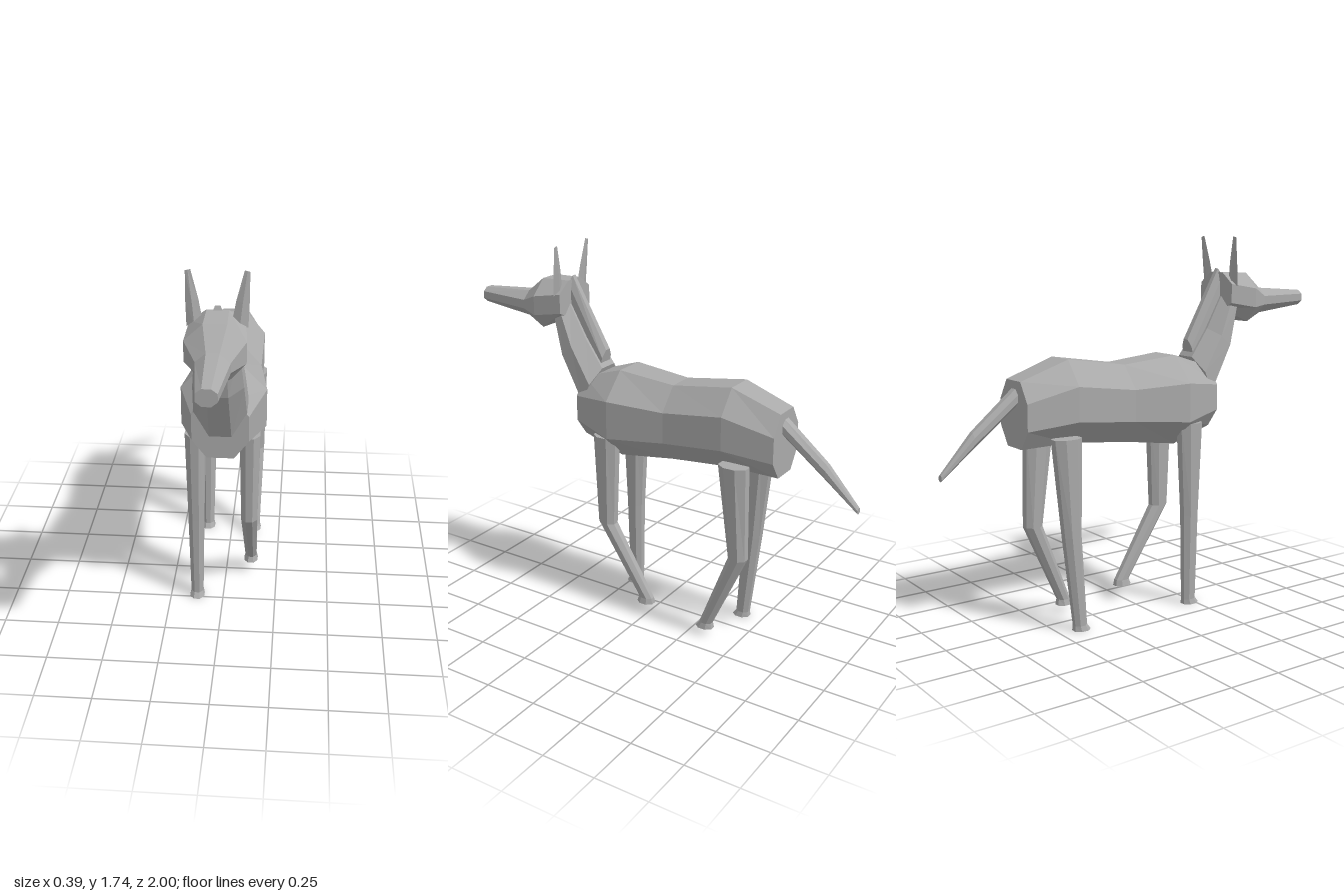
import * as THREE from 'three';

const coat = new THREE.MeshStandardMaterial({ color: 0xaaaaaa, flatShading: true });
coat.name = 'grey coat';

// Skin a row of equal-length cross-sections and cap both ends
function loft(name, rings) {
  const n = rings[0].length, tris = [];
  for (let i = 0; i < rings.length - 1; i++) {
    for (let j = 0; j < n; j++) {
      const k = (j + 1) % n;
      const [a, b, c, d] = [rings[i][j], rings[i][k], rings[i + 1][k], rings[i + 1][j]];
      tris.push([a, b, c], [a, c, d]);
    }
  }
  const first = rings[0], last = rings[rings.length - 1];
  for (let j = 1; j < n - 1; j++) {
    tris.push([first[0], first[j + 1], first[j]], [last[0], last[j], last[j + 1]]);
  }
  // Turn faces outward whichever way the sections run
  let volume = 0;
  const cross = new THREE.Vector3();
  for (const [a, b, c] of tris) volume += a.dot(cross.crossVectors(b, c));
  const points = tris.flatMap(([a, b, c]) => (volume < 0 ? [a, c, b] : [a, b, c]));
  const geometry = new THREE.BufferGeometry().setFromPoints(points);
  geometry.computeVertexNormals();
  const mesh = new THREE.Mesh(geometry, coat);
  mesh.name = name;
  return mesh;
}

// Upright eight-sided section at depth z
function section([z, w, topW, lowW, top, up, low, bottom]) {
  return [[topW, top], [w, up], [w, low], [lowW, bottom],
    [-lowW, bottom], [-w, low], [-w, up], [-topW, top]]
    .map(([x, y]) => new THREE.Vector3(x, y, z));
}

// Tilted octagon between two [z, y] points, with a half width in x
function ring([z1, y1], [z2, y2], w, x0 = 0) {
  return Array.from({ length: 8 }, (_, i) => {
    const a = (i + 0.5) * Math.PI / 4, r = 1 / Math.cos(Math.PI / 8);
    const c = Math.cos(a) * r / 2, s = Math.sin(a) * r;
    return new THREE.Vector3(x0 + s * w,
      (y1 + y2) / 2 + c * (y1 - y2), (z1 + z2) / 2 + c * (z1 - z2));
  });
}

// Leg rows: height, front z, back z, half width
function leg(name, x, rows) {
  return loft(name, rows.map(([y, z1, z2, w]) => ring([z1, y], [z2, y], w, x)));
}

export function createModel() {
  const model = new THREE.Group();
  model.name = 'deer';

  // Torso, chest to rump
  model.add(loft('body', [
    [0.385, 0.125, 0.06, 0.06, 1.13, 1.05, 0.93, 0.845],
    [0.17, 0.193, 0.075, 0.068, 1.20, 1.08, 0.90, 0.78],
    [-0.11, 0.155, 0.065, 0.065, 1.175, 1.07, 0.925, 0.82],
    [-0.41, 0.157, 0.068, 0.068, 1.22, 1.11, 0.955, 0.85],
    [-0.645, 0.117, 0.06, 0.06, 1.14, 1.05, 0.93, 0.845],
  ].map(section)));

  // Head with long muzzle
  model.add(loft('head', [
    [0.475, 0.115, 0.045, 0.05, 1.572, 1.52, 1.43, 1.40],
    [0.62, 0.125, 0.048, 0.06, 1.567, 1.495, 1.405, 1.333],
    [0.725, 0.07, 0.027, 0.03, 1.49, 1.452, 1.41, 1.37],
    [1.0, 0.042, 0.018, 0.018, 1.47, 1.452, 1.418, 1.398],
  ].map(section)));

  // Neck and the mane ridge along its back
  model.add(loft('neck', [
    ring([0.385, 0.95], [0.29, 1.18], 0.118),
    ring([0.515, 1.2], [0.385, 1.31], 0.108),
    ring([0.56, 1.42], [0.475, 1.46], 0.09),
  ]));
  model.add(loft('mane', [
    ring([0.475, 1.59], [0.53, 1.47], 0.026),
    ring([0.29, 1.26], [0.32, 1.14], 0.036),
  ]));

  // Tail
  model.add(loft('tail', [
    ring([-0.62, 1.125], [-0.62, 1.045], 0.04),
    ring([-0.85, 0.935], [-0.85, 0.865], 0.03),
    ring([-1.0, 0.77], [-1.0, 0.742], 0.015),
  ]));

  // Ears: thin leaves leaning outward
  for (const s of [1, -1]) {
    const leaf = (xIn, xOut, yIn, yOut, z, d) => [
      [xIn, yIn, z], [(xIn + xOut) / 2, (yIn + yOut) / 2, z + d],
      [xOut, yOut, z], [(xIn + xOut) / 2, (yIn + yOut) / 2, z - d],
    ].map(([x, y, zz]) => new THREE.Vector3(s * x, y, zz));
    model.add(loft(s > 0 ? 'leftEar' : 'rightEar', [
      leaf(0.058, 0.124, 1.53, 1.51, 0.503, 0.014),
      leaf(0.075, 0.128, 1.62, 1.61, 0.495, 0.01),
      leaf(0.107, 0.129, 1.742, 1.737, 0.485, 0.002),
    ]));
  }

  // Legs in mid-step: left pair bent, right pair planted
  model.add(leg('leftFrontLeg', 0.122, [
    [0.885, 0.28, 0.157, 0.046], [0.44, 0.262, 0.175, 0.037],
    [0.095, 0.035, -0.035, 0.027], [0.067, 0.045, -0.04, 0.033]]));
  model.add(leg('rightFrontLeg', -0.125, [
    [0.885, 0.28, 0.157, 0.046], [0.44, 0.262, 0.18, 0.036],
    [0.025, 0.252, 0.186, 0.028], [0, 0.27, 0.186, 0.034]]));
  model.add(leg('leftHindLeg', 0.122, [
    [0.885, -0.39, -0.527, 0.046], [0.44, -0.45, -0.535, 0.038],
    [0.065, -0.305, -0.365, 0.027], [0.037, -0.285, -0.37, 0.033]]));
  model.add(leg('rightHindLeg', -0.125, [
    [0.885, -0.39, -0.527, 0.046], [0.44, -0.395, -0.48, 0.037],
    [0.025, -0.368, -0.43, 0.028], [0, -0.35, -0.432, 0.034]]));

  return model;
}
